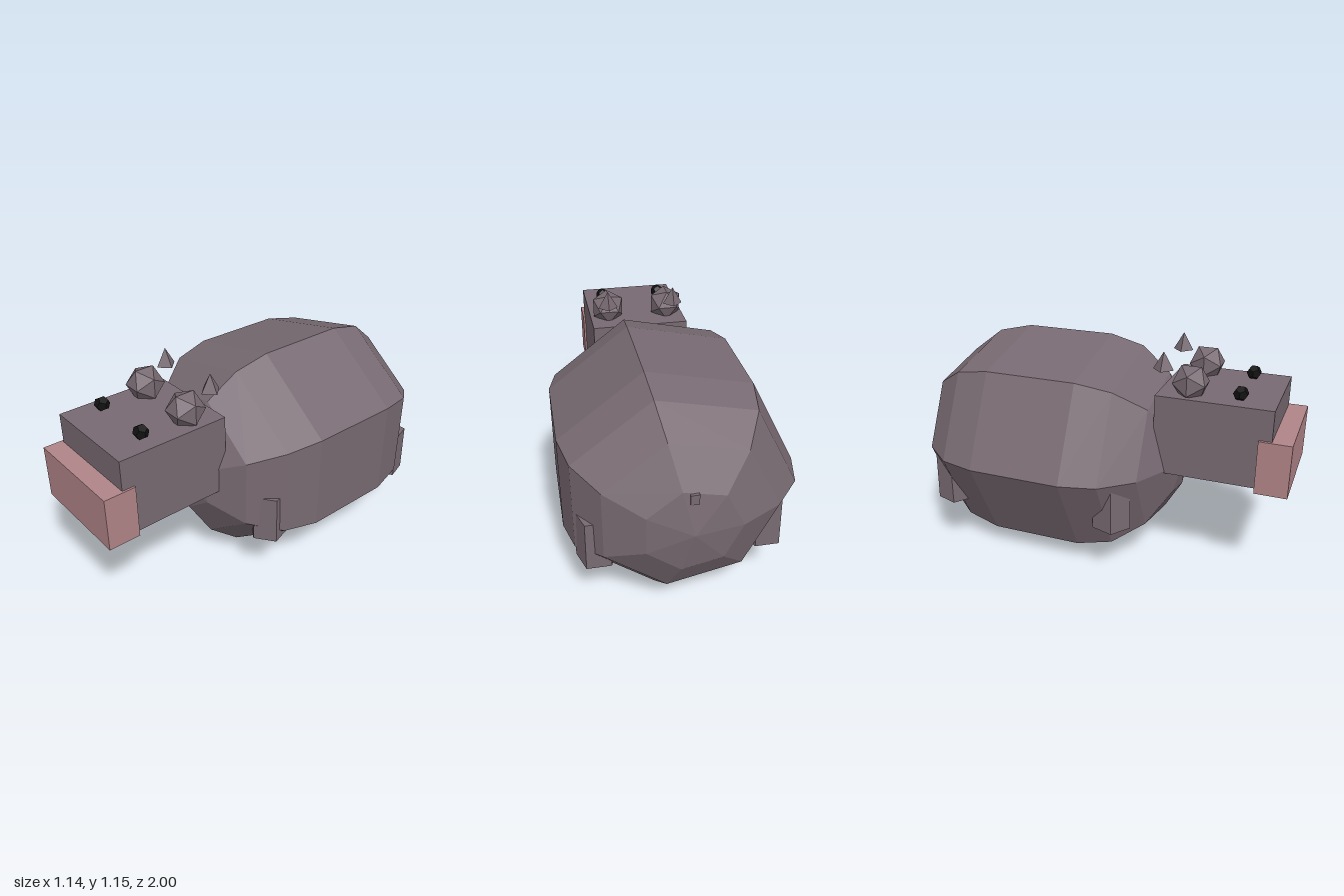
import * as THREE from 'three';

const CX = 0.027; // the animal's own centre line

export function createModel() {
  const group = new THREE.Group();
  const material = (name, color) => {
    const m = new THREE.MeshStandardMaterial({ color, flatShading: true });
    m.name = name;
    return m;
  };
  const hide = material('greyHide', 0x786a72);
  const pink = material('muzzlePink', 0xb08487);
  const black = material('nostrilBlack', 0x111111);

  const add = (name, geometry, mat, x, y, z) => {
    const mesh = new THREE.Mesh(geometry, mat);
    mesh.name = name;
    mesh.position.set(x, y, z);
    group.add(mesh);
    return mesh;
  };

  // Body: seven-sided capsule lying along z, one corner pointing to -x
  const profile = [];
  for (const end of [-1, 1]) {
    for (let i = 0; i <= 4; i++) {
      const a = ((end < 0 ? 4 - i : i) * Math.PI) / 8;
      const r = a > 1.57 ? 0 : Math.cos(a);
      profile.push(new THREE.Vector2(r, end * (0.5 + Math.sin(a))));
    }
  }
  const bodyGeometry = new THREE.LatheGeometry(profile, 7, -Math.PI / 2);
  bodyGeometry.rotateX(Math.PI / 2);
  bodyGeometry.scale(0.602, 0.574, 0.48);
  add('body', bodyGeometry, hide, CX, 0.56, -0.28);

  // Head and muzzle
  add('head', new THREE.BoxGeometry(0.52, 0.405, 0.575), hide, CX + 0.003, 0.7525, 0.615);
  add('muzzle', new THREE.BoxGeometry(0.546, 0.272, 0.16), pink, CX + 0.001, 0.666, 0.92);

  // Paired eyes, nostrils, ears and legs
  const eye = new THREE.IcosahedronGeometry(0.095).rotateY(Math.PI / 2);
  const nostril = new THREE.DodecahedronGeometry(0.038).rotateY(Math.PI / 2);
  const ear = new THREE.ConeGeometry(0.052, 0.09, 4);
  const leg = new THREE.CylinderGeometry(0.095, 0.1, 0.25, 5);
  for (const [side, s] of [['right', -1], ['left', 1]]) {
    add(side + 'Eye', eye, hide, CX + s * 0.164, 1.012, 0.48);
    add(side + 'Nostril', nostril, black, CX + s * 0.164, 0.987, 0.725);
    add(side + 'Ear', ear, hide, CX + s * 0.178, 1.109, 0.345);
    add(side + 'FrontLeg', leg, hide, CX + s * 0.402, 0.41, 0.165);
    add(side + 'BackLeg', leg, hide, CX + s * 0.402, 0.41, -0.735);
  }

  // Tail stub
  add('tail', new THREE.BoxGeometry(0.04, 0.05, 0.1), hide, CX, 0.738, -0.927);

  return group;
}
